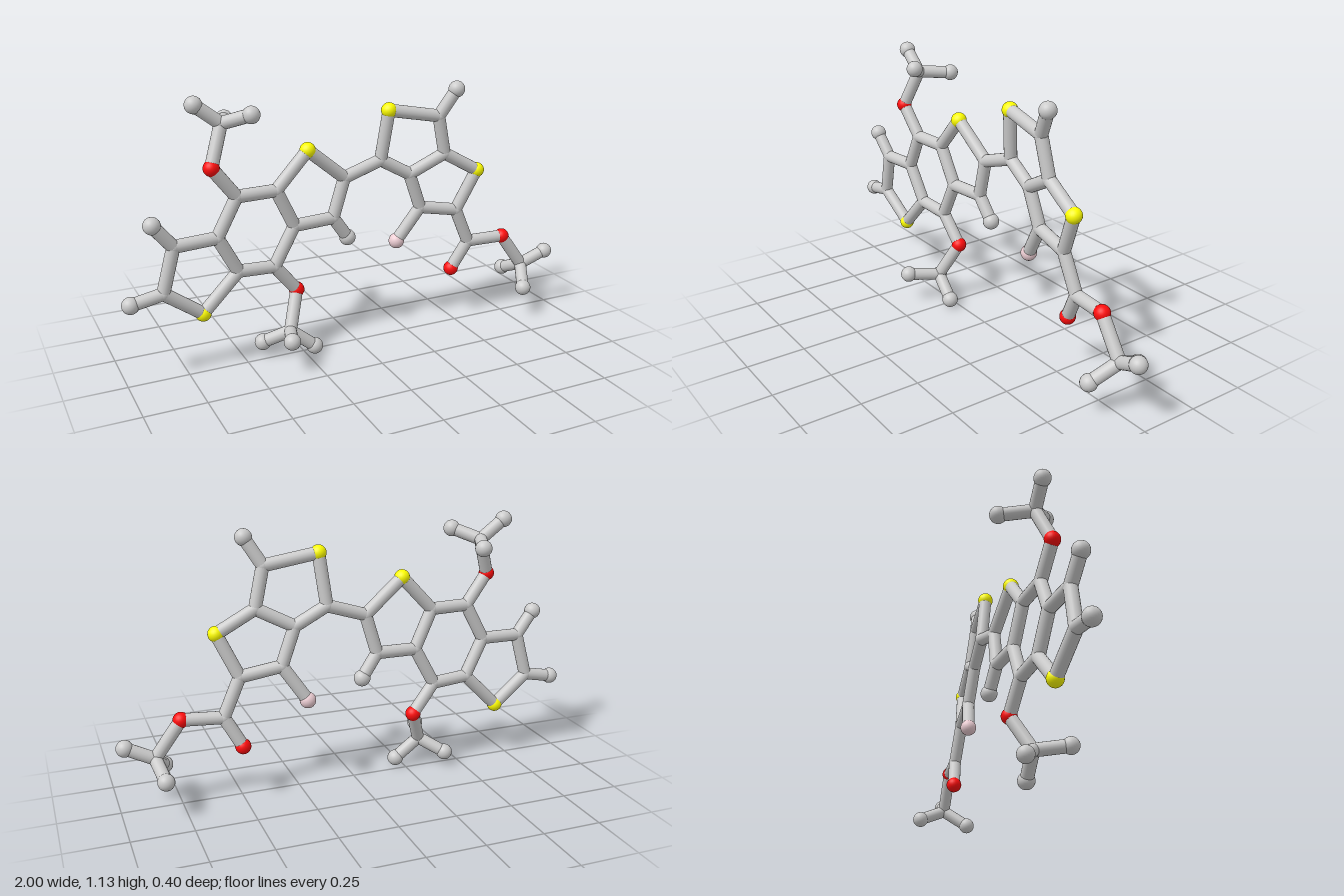
import * as THREE from 'three';

// Ball styles: [part name, radius, colour]
const STYLES = {
  joint: ['joint', 0.028, 0xcccccc],
  end: ['endBall', 0.035, 0xcccccc],
  yellow: ['yellowBall', 0.033, 0xffff00],
  red: ['redBall', 0.033, 0xff0d0d],
  pink: ['pinkBall', 0.034, 0xeccdd3],
};
const ROD_RADIUS = 0.027;

// The two flat ring systems lie in slightly tilted planes
const leftPlane = (x, y) => -0.015 - 0.065 * (x + 0.21) + 0.05 * (y - 0.88);
const rightPlane = (x, y) => -0.012 + 0.12 * (x - 0.155) + 0.1 * (y - 1.01);

// name: [style, x, y, z if out of plane]
const LEFT = {
  // central six-sided ring
  a1: ['joint', -0.52, 0.73], a2: ['joint', -0.35, 0.73], a3: ['joint', -0.27, 0.565],
  a4: ['joint', -0.36, 0.4], a5: ['joint', -0.52, 0.41], a6: ['joint', -0.605, 0.57],
  // inner five-sided ring
  b1: ['yellow', -0.21, 0.88], b2: ['joint', -0.04, 0.74], b3: ['joint', -0.09, 0.57],
  b4: ['end', -0.02, 0.47],
  // outer five-sided ring
  c1: ['joint', -0.785, 0.565], c2: ['joint', -0.835, 0.375], c3: ['yellow', -0.675, 0.255],
  c4: ['end', -0.865, 0.665], c5: ['end', -0.965, 0.35, 0],
  // upper branch
  d1: ['red', -0.62, 0.86], d2: ['joint', -0.56, 1.02, -0.035],
  d3: ['end', -0.663, 1.1, -0.04], d4: ['end', -0.463, 1.06, 0.045], d5: ['end', -0.505, 1.008, -0.167],
  // lower branch
  e1: ['red', -0.26, 0.275], e2: ['joint', -0.32, 0.125, 0.03],
  e3: ['end', -0.42, 0.067, -0.035], e4: ['end', -0.215, 0.04, 0.04], e5: ['end', -0.365, 0.143, 0.165],
};
const RIGHT = {
  // upper five-sided ring
  f1: ['joint', 0.13, 0.795], f2: ['yellow', 0.155, 1.01], f3: ['joint', 0.38, 0.97],
  f4: ['joint', 0.42, 0.8], f5: ['joint', 0.265, 0.72], f6: ['end', 0.448, 1.083, 0.037],
  // lower five-sided ring
  g1: ['joint', 0.325, 0.56], g2: ['joint', 0.497, 0.53], g3: ['yellow', 0.58, 0.71],
  g4: ['pink', 0.225, 0.41],
  // lower branch
  h1: ['joint', 0.57, 0.368], h2: ['red', 0.5, 0.24], h3: ['red', 0.74, 0.373],
  h4: ['joint', 0.85, 0.22, 0], h5: ['end', 0.965, 0.273, 0.02],
  h6: ['end', 0.8, 0.145, 0.1], h7: ['end', 0.83, 0.165, -0.118],
};

// Rods run along each chain of balls
const CHAINS = [
  'a1 a2 a3 a4 a5 a6 a1', 'a2 b1 b2 b3 a3', 'b3 b4', 'a6 c1 c2 c3 a5', 'c1 c4', 'c2 c5',
  'a1 d1 d2 d3', 'd4 d2 d5', 'a4 e1 e2 e3', 'e4 e2 e5',
  'b2 f1 f2 f3 f4 f5 f1', 'f3 f6', 'f5 g1 g2 g3 f4', 'g1 g4',
  'g2 h1 h3 h4 h5', 'h1 h2', 'h6 h4 h7',
];

export function createModel() {
  const model = new THREE.Group();
  const rods = new THREE.Group();
  const balls = new THREE.Group();
  rods.name = 'rods';
  balls.name = 'balls';
  model.add(rods, balls);

  const kit = {};
  for (const [key, [name, radius, color]] of Object.entries(STYLES)) {
    kit[key] = {
      name,
      geometry: new THREE.SphereGeometry(radius, 24, 16),
      material: new THREE.MeshStandardMaterial({ color }),
    };
  }

  // Balls and joints
  const points = {};
  const addBalls = (table, plane) => {
    for (const [key, [style, x, y, z = plane(x, y)]] of Object.entries(table)) {
      points[key] = new THREE.Vector3(x, y, z);
      const { name, geometry, material } = kit[style];
      const ball = new THREE.Mesh(geometry, material);
      ball.name = name;
      ball.position.copy(points[key]);
      balls.add(ball);
    }
  };
  addBalls(LEFT, leftPlane);
  addBalls(RIGHT, rightPlane);

  // Connecting rods
  const rodGeometry = new THREE.CylinderGeometry(ROD_RADIUS, ROD_RADIUS, 1, 20);
  const up = new THREE.Vector3(0, 1, 0);
  for (const chain of CHAINS) {
    const keys = chain.split(' ');
    for (let i = 1; i < keys.length; i++) {
      const from = points[keys[i - 1]], to = points[keys[i]];
      const along = to.clone().sub(from);
      const rod = new THREE.Mesh(rodGeometry, kit.joint.material);
      rod.name = 'rod';
      rod.scale.y = along.length();
      rod.position.copy(from).add(to).multiplyScalar(0.5);
      rod.quaternion.setFromUnitVectors(up, along.normalize());
      rods.add(rod);
    }
  }
  return model;
}
